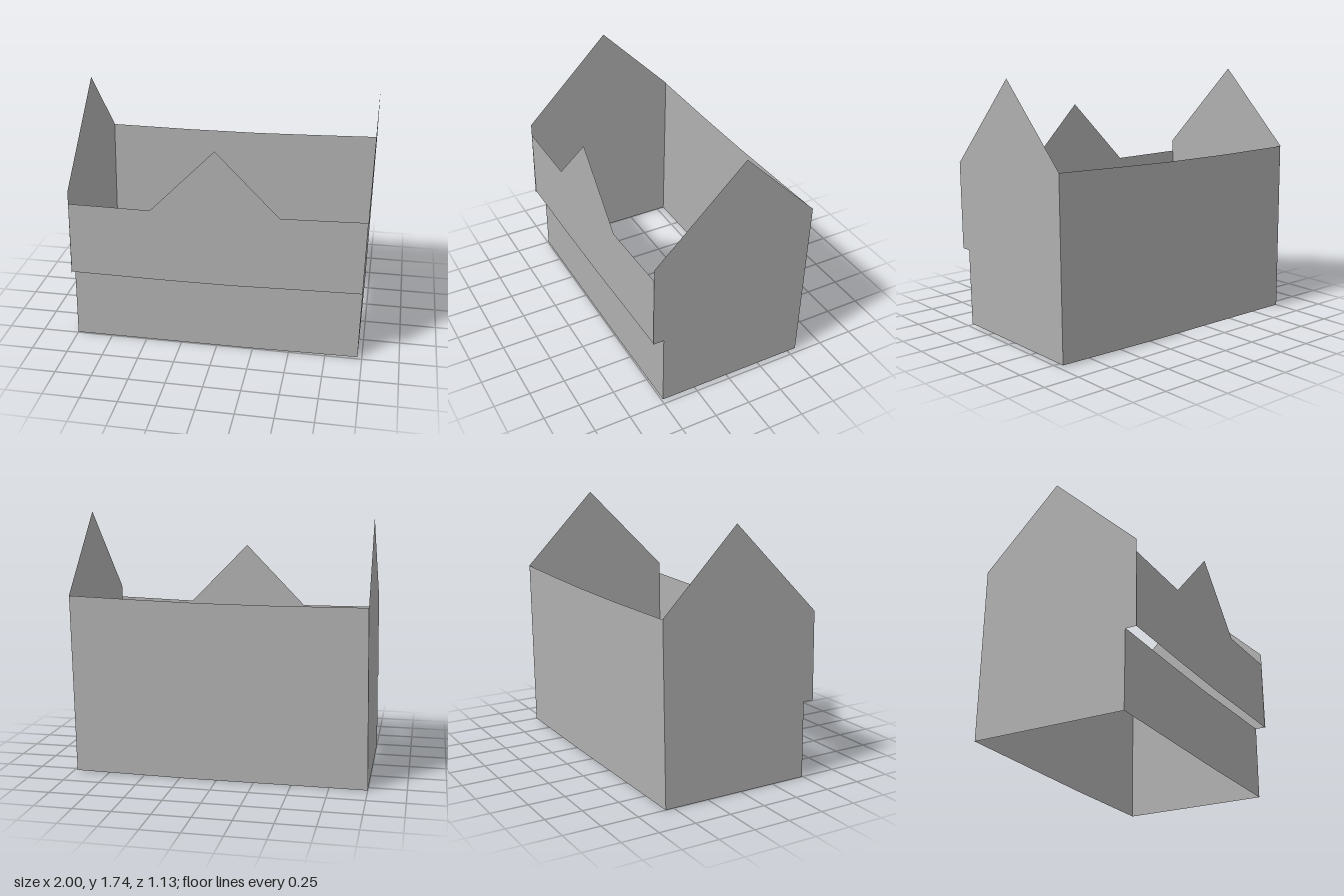
import * as THREE from 'three';

// Thin, open walls of a slightly leaning house shell with a jettied upper floor.
export function createModel() {
  const house = new THREE.Group();
  house.name = 'houseWalls';
  const plaster = new THREE.MeshStandardMaterial({ color: 0xb0b0b0, side: THREE.DoubleSide, flatShading: true });
  plaster.name = 'plainGrey';

  const LEAN = 0.017; // sideways drift per unit of height

  // Flat outline (u, y) mapped onto a wall by place(u, y) -> [x, y, z]
  function addWall(name, outline, place) {
    const shape = new THREE.Shape(outline.map(([u, y]) => new THREE.Vector2(u, y)));
    const geometry = new THREE.ShapeGeometry(shape);
    const p = geometry.attributes.position;
    for (let i = 0; i < p.count; i++) p.setXYZ(i, ...place(p.getX(i), p.getY(i)));
    geometry.computeVertexNormals();
    const mesh = new THREE.Mesh(geometry, plaster);
    mesh.name = name;
    house.add(mesh);
  }

  // Walls running along x: sagging edges, leaning with height
  const along = (z) => (x, y) => [x + LEAN * y, y, z(y)];
  const L = -1, R = 0.97;
  const base = [[L, 0], [0.19, 0], [R, 0.01]];
  const floorLine = [[L, 0.523], [-0.4, 0.517], [0.1, 0.518], [0.5, 0.528], [R, 0.538]];

  addWall('lowerFrontWall', [...base, ...[...floorLine].reverse()], along(() => 0.493));
  addWall('upperFrontWall', [
    ...floorLine,
    [R, 1.052], [0.41, 1.036], [-0.02, 1.468], [-0.445, 1.026], [L, 1.03],
  ], along(() => 0.563));
  addWall('backWall', [
    ...base,
    [R, 1.212], [0.5, 1.198], [0.1, 1.188], [-0.4, 1.185], [L, 1.19],
  ], along((y) => -0.557 - 0.008 * y));

  // Gabled end walls with the jetty step at the front; the left one sits lower
  const gable = [[0.493, 0.01], [0.493, 0.538], [0.568, 0.538], [0.563, 1.137],
    [-0.045, 1.738], [-0.567, 1.214], [-0.557, 0.01]];
  for (const [name, x, drop] of [['rightGableWall', R, 0], ['leftGableWall', L, 0.02]]) {
    const outline = gable.map(([z, y]) => [z, Math.max(y < 0.1 ? (drop ? 0 : y) : y - drop, 0)]);
    addWall(name, outline, (z, y) => [x + LEAN * y, y, z]);
  }
  return house;
}
